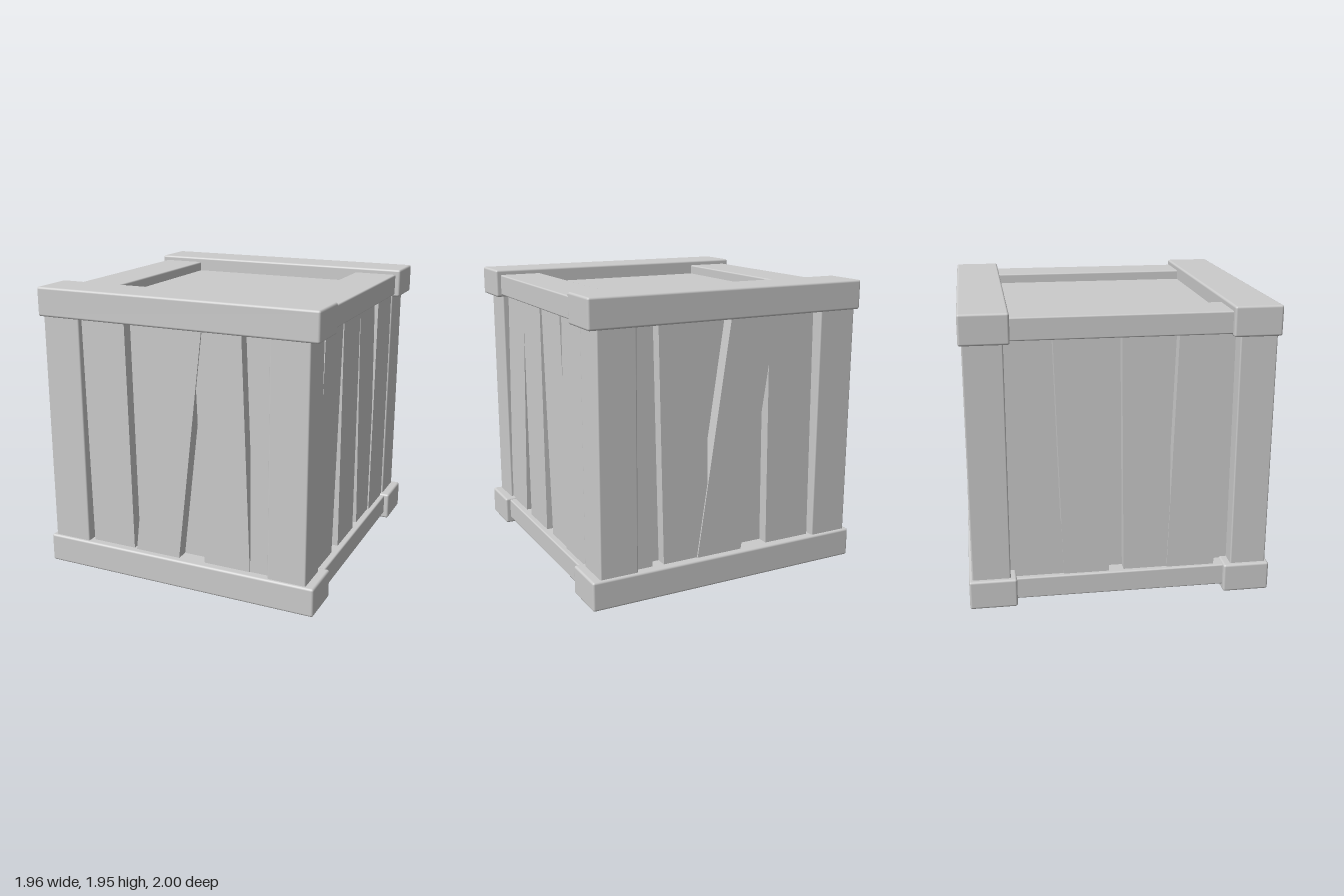
import * as THREE from 'three';
import { RoundedBoxGeometry } from 'three/addons/geometries/RoundedBoxGeometry.js';

const material = new THREE.MeshStandardMaterial({ color: 0xcccccc });

// Box given by its extents, with a small worn edge
function block(name, x0, x1, y0, y1, z0, z1, radius = 0.01) {
  const size = [x1 - x0, y1 - y0, z1 - z0];
  const geometry = radius
    ? new RoundedBoxGeometry(...size, 2, radius)
    : new THREE.BoxGeometry(...size);
  const mesh = new THREE.Mesh(geometry, material);
  mesh.name = name;
  mesh.position.set((x0 + x1) / 2, (y0 + y1) / 2, (z0 + z1) / 2);
  return mesh;
}

// Skewed plank: left and right edge at the top, then at the bottom
function plank(topL, topR, bottomL, bottomR, outer) {
  const yLow = 0.17, yHigh = 1.79, thickness = 0.1;
  const shape = new THREE.Shape([
    new THREE.Vector2(bottomL, yLow),
    new THREE.Vector2(bottomR, yLow),
    new THREE.Vector2(topR, yHigh),
    new THREE.Vector2(topL, yHigh),
  ]);
  const geometry = new THREE.ExtrudeGeometry(shape, { depth: thickness, bevelEnabled: false });
  const mesh = new THREE.Mesh(geometry, material);
  mesh.name = 'plank';
  mesh.position.z = outer - thickness;
  return mesh;
}

// Each wall's planks as seen from outside, left to right
const walls = [
  { name: 'frontPlanks', turn: 0, planks: [
    [-0.68, -0.36, -0.655, -0.335, 0.945],
    [-0.125, 0.2, -0.315, 0.01, 0.955],
    [0.135, 0.46, 0.2, 0.525, 0.945],
    [0.525, 0.7, 0.525, 0.7, 0.94],
  ] },
  { name: 'rightViewPlanks', turn: Math.PI / 2, planks: [
    [-0.665, -0.335, -0.755, -0.43, 0.9],
    [-0.335, 0, -0.315, 0.01, 0.905],
    [0.02, 0.345, 0.115, 0.445, 0.9],
    [0.405, 0.735, 0.385, 0.715, 0.91],
  ] },
  { name: 'backPlanks', turn: Math.PI, planks: [
    [-0.72, -0.54, -0.72, -0.54, 0.94],
    [-0.5, -0.17, -0.46, -0.13, 0.945],
    [0.015, 0.35, -0.22, 0.11, 0.955],
    [0.3, 0.64, 0.32, 0.66, 0.945],
  ] },
  { name: 'leftViewPlanks', turn: -Math.PI / 2, planks: [
    [-0.88, -0.57, -0.69, -0.34, 0.91],
    [-0.43, -0.09, -0.38, -0.08, 0.92],
    [0, 0.31, 0.02, 0.33, 0.91],
    [0.36, 0.69, 0.31, 0.63, 0.92],
  ] },
];

export function createModel() {
  const crate = new THREE.Group();
  crate.name = 'crate';

  // Inner box: recessed lid and floor, and backing behind the gaps
  crate.add(block('innerBox', -0.84, 0.84, 0.11, 1.85, -0.87, 0.87, 0));

  // Heavy beams along the front and back edges
  for (const [y0, y1] of [[0, 0.195], [1.755, 1.95]]) {
    crate.add(block('frontBeam', -0.98, 0.98, y0, y1, 0.69, 1, 0.015));
    crate.add(block('backBeam', -0.98, 0.98, y0, y1, -1, -0.69, 0.015));
  }

  // Thinner side rails fitted between the beams
  for (const [y0, y1] of [[0.04, 0.185], [1.77, 1.915]]) {
    crate.add(block('sideRail', 0.64, 0.945, y0, y1, -0.71, 0.71));
    crate.add(block('sideRail', -0.945, -0.64, y0, y1, -0.71, 0.71));
  }

  // Corner posts
  for (const [x0, x1] of [[0.66, 0.92], [-0.95, -0.68]]) {
    crate.add(block('cornerPost', x0, x1, 0.15, 1.8, 0.74, 0.98));
    crate.add(block('cornerPost', x0, x1, 0.15, 1.8, -0.98, -0.73));
  }

  // Crooked planks on the four walls
  for (const { name, turn, planks } of walls) {
    const wall = new THREE.Group();
    wall.name = name;
    wall.rotation.y = turn;
    planks.forEach((p) => wall.add(plank(...p)));
    crate.add(wall);
  }
  return crate;
}
